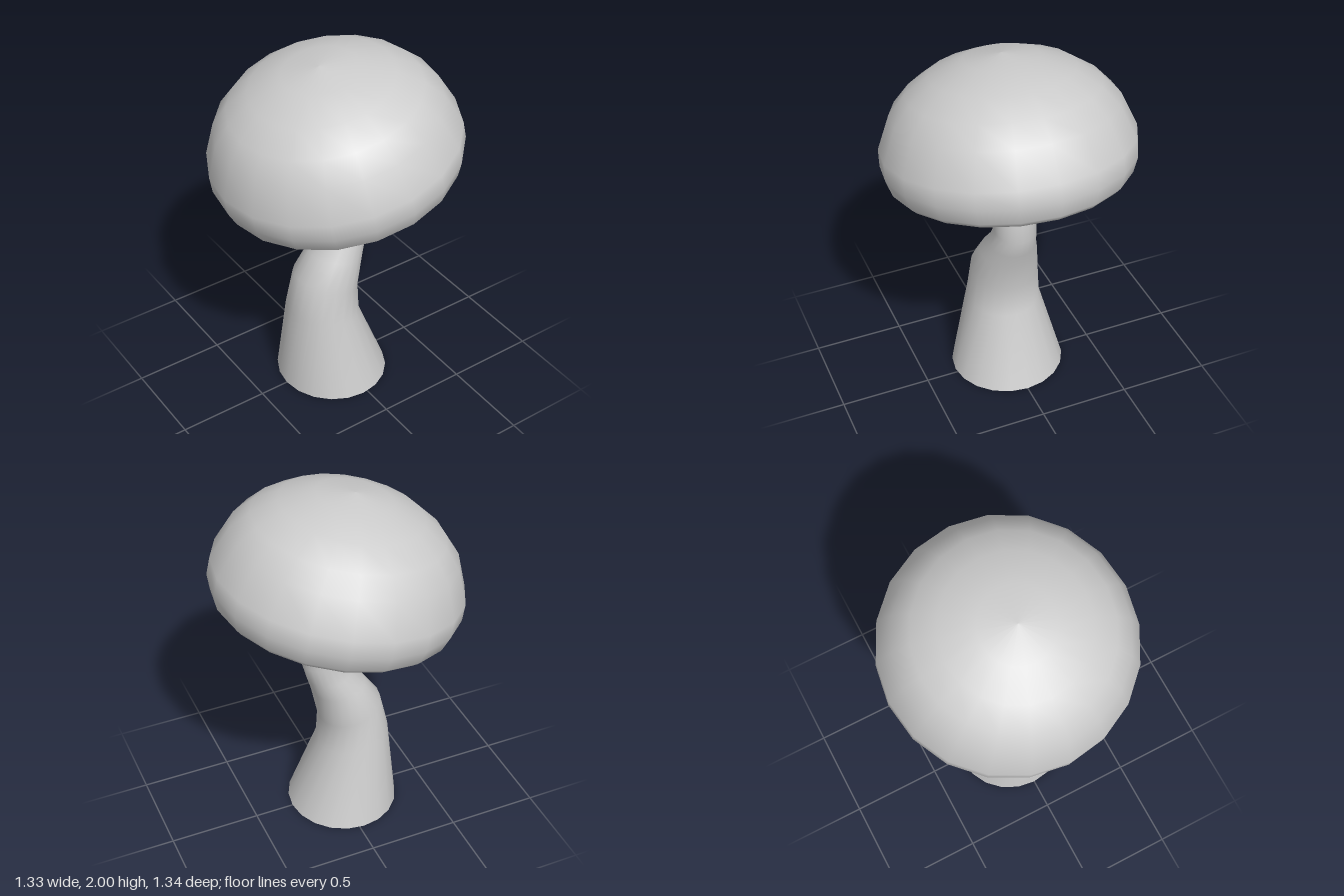
import * as THREE from 'three';
import { mergeVertices } from 'three/addons/utils/BufferGeometryUtils.js';

const SIDES = 20;
const material = new THREE.MeshStandardMaterial({ color: 0xcccccc, side: THREE.DoubleSide });

// Bent stem: every ring is given by its left and right edge [xl, yl, xr, yr] and its half depth
function createStem() {
  const rings = [
    [-0.335, 0, 0.28, 0, 0.32],
    [-0.29, 0.49, 0.115, 0.42, 0.205],
    [-0.24, 0.70, 0.105, 0.60, 0.19],
    [-0.15, 0.83, 0.145, 0.79, 0.158],
    [-0.07, 0.925, 0.172, 0.88, 0.13],
    [-0.02, 1.03, 0.2, 0.99, 0.115],
    [-0.03, 1.18, 0.187, 1.18, 0.11],
    [-0.09, 1.31, 0.115, 1.34, 0.108],
    [-0.18, 1.52, 0.02, 1.56, 0.105],
  ];
  const last = rings.length - 1;
  let geometry = new THREE.CylinderGeometry(1, 1, 1, SIDES, last, true);
  const p = geometry.attributes.position;
  for (let i = 0; i < p.count; i++) {
    const [xl, yl, xr, yr, depth] = rings[Math.round((p.getY(i) + 0.5) * last)];
    const t = (p.getX(i) + 1) / 2;
    p.setXYZ(i, xl + (xr - xl) * t, yl + (yr - yl) * t, p.getZ(i) * depth);
  }
  // Weld the seam so the stem shades smoothly all round
  geometry.deleteAttribute('uv');
  geometry.deleteAttribute('normal');
  geometry = mergeVertices(geometry);
  geometry.computeVertexNormals();
  const stem = new THREE.Mesh(geometry, material);
  stem.name = 'stem';
  return stem;
}

// Tilted cap: one profile from the hollow underside, round the rim, up to the crown
function createCap() {
  const profile = [
    [0, 0.23], [0.25, 0.22], [0.45, 0.19], [0.56, 0.13], [0.59, 0.06], [0.585, 0.015],
    [0.612, 0], [0.643, 0.03], [0.672, 0.115], [0.67, 0.21], [0.596, 0.39],
    [0.507, 0.49], [0.38, 0.577], [0.2, 0.645], [0, 0.668],
  ].map(([r, y]) => new THREE.Vector2(r, y));
  const cap = new THREE.Mesh(new THREE.LatheGeometry(profile, SIDES), material);
  cap.name = 'cap';
  cap.position.set(0.03, 1.33, 0);
  cap.rotation.z = 0.197;
  return cap;
}

export function createModel() {
  const group = new THREE.Group();
  group.name = 'mushroom';
  group.add(createStem(), createCap());
  return group;
}
